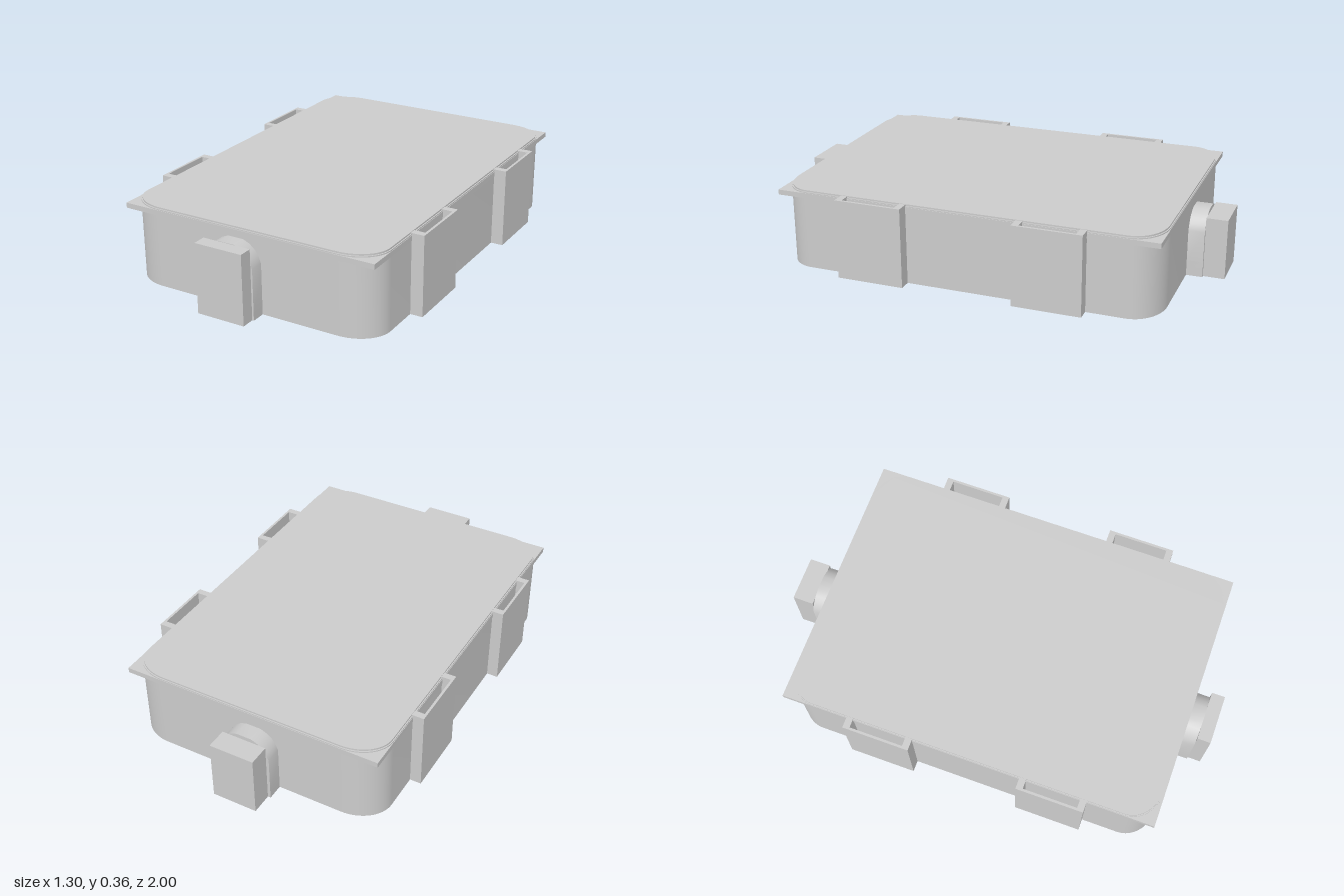
import * as THREE from 'three';
import { toCreasedNormals } from 'three/addons/utils/BufferGeometryUtils.js';

const material = new THREE.MeshStandardMaterial({ color: 0xcccccc });

function add(parent, name, geometry, x = 0, y = 0, z = 0) {
  const mesh = new THREE.Mesh(geometry, material);
  mesh.name = name;
  mesh.position.set(x, y, z);
  parent.add(mesh);
  return mesh;
}

// Box given by its limits on each axis
function block(parent, name, [x0, x1], [y0, y1], [z0, z1]) {
  return add(parent, name, new THREE.BoxGeometry(x1 - x0, y1 - y0, z1 - z0),
    (x0 + x1) / 2, (y0 + y1) / 2, (z0 + z1) / 2);
}

// Rectangle with elliptical corners, standing up from y = 0
function roundedSlab(w, d, rx, rz, height) {
  const s = new THREE.Shape();
  const x = w / 2, z = d / 2;
  [[1, 1, 0], [-1, 1, 0.5], [-1, -1, 1], [1, -1, 1.5]].forEach(([sx, sz, a]) =>
    s.absellipse(sx * (x - rx), sz * (z - rz), rx, rz, a * Math.PI, (a + 0.5) * Math.PI));
  s.closePath();
  const g = new THREE.ExtrudeGeometry(s, { depth: height, bevelEnabled: false, curveSegments: 8 });
  g.rotateX(-Math.PI / 2);
  return toCreasedNormals(g, 0.5);
}

// Side bracket: a pocket open at the top, built on the +x side
function bracket(z0, z1) {
  const g = new THREE.Group();
  g.name = 'sideBracket';
  block(g, 'outerWall', [0.637, 0.648], [0, 0.36], [z0, z1]);
  block(g, 'pocketFloor', [0.58, 0.637], [0, 0.02], [z0 + 0.03, z1 - 0.03]);
  for (const [a, b] of [[z0, z0 + 0.03], [z1 - 0.03, z1]])
    block(g, 'endWall', [0.58, 0.637], [0, 0.36], [a, b]);
  return g;
}

// End connector: arched neck, foot and rectangular plug, pointing to +z
function connector(name, cx, neckW, neckTop, boxW, boxTop, z0, z1) {
  const g = new THREE.Group();
  g.name = name;
  const w = neckW / 2, s = new THREE.Shape();
  s.moveTo(-w, 0.03);
  s.lineTo(w, 0.03);
  s.lineTo(w, neckTop * 0.72);
  s.quadraticCurveTo(w * 0.85, neckTop * 0.94, w * 0.3, neckTop);
  s.lineTo(-w * 0.3, neckTop);
  s.quadraticCurveTo(-w * 0.85, neckTop * 0.94, -w, neckTop * 0.72);
  s.closePath();
  const neck = new THREE.ExtrudeGeometry(s, { depth: z1 - z0 + 0.02, bevelEnabled: false, curveSegments: 4 });
  add(g, 'archedNeck', toCreasedNormals(neck, 0.6), 0, 0, z0 - 0.02);
  block(g, 'foot', [-w, w], [0, 0.07], [z0 - 0.02, z1]);
  block(g, 'plug', [-boxW / 2, boxW / 2], [0, boxTop], [z1, 1]);
  g.position.x = cx;
  return g;
}

export function createModel() {
  const model = new THREE.Group();
  model.name = 'batteryTray';

  // Tray body, with the corner plates just below the lid
  add(model, 'body', roundedSlab(1.19, 1.71, 0.165, 0.135, 0.355), -0.003, 0, 0.022);
  block(model, 'cornerPlate', [-0.6, 0.594], [0.327, 0.35], [-0.835, 0.879]);
  add(model, 'lid', roundedSlab(1.18, 1.7, 0.165, 0.13, 0.025), -0.003, 0.337, 0.022);

  // Two brackets on each long side
  for (const [z0, z1] of [[0.27, 0.575], [-0.53, -0.225]]) {
    model.add(bracket(z0, z1));
    const other = bracket(z0, z1);
    other.rotation.y = Math.PI;
    other.position.z = z0 + z1;
    model.add(other);
  }

  // Connectors on the front and back ends
  model.add(connector('frontConnector', -0.044, 0.24, 0.316, 0.224, 0.314, 0.877, 0.94));
  const back = connector('backConnector', -0.027, 0.23, 0.29, 0.204, 0.272, 0.833, 0.905);
  back.rotation.y = Math.PI;
  model.add(back);

  return model;
}
